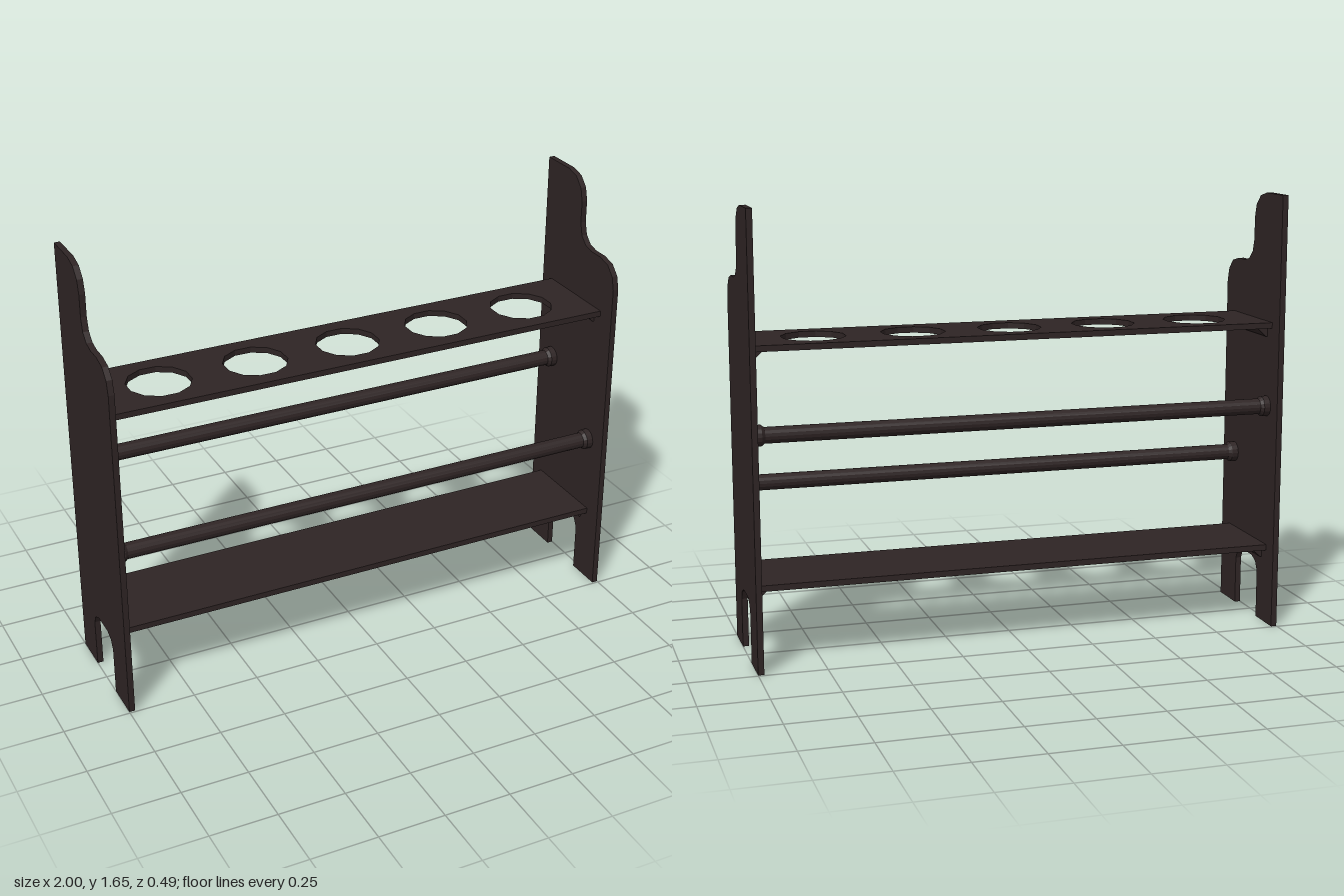
import * as THREE from 'three';

const wood = new THREE.MeshStandardMaterial({ color: 0x2e2424, flatShading: true });
wood.name = 'darkWood';

const PANEL = 0.022; // side panel thickness
const INNER = 1 - PANEL; // inner face of the panels

function add(parent, name, geometry, x = 0, y = 0, z = 0) {
  const mesh = new THREE.Mesh(geometry, wood);
  mesh.name = name;
  mesh.position.set(x, y, z);
  parent.add(mesh);
  return mesh;
}

// Extrudes a (z, y) outline along x, centred on x = 0
function extrudeAcross(points, depth) {
  const shape = new THREE.Shape(points.map(([z, y]) => new THREE.Vector2(z, y)));
  const g = new THREE.ExtrudeGeometry(shape, { depth, bevelEnabled: false });
  return g.translate(0, 0, -depth / 2).rotateY(-Math.PI / 2);
}

// Flat shelf with optional round cut-outs
function shelfGeometry(holeXs) {
  const zBack = -0.18, zFront = 0.17, t = 0.022;
  const shape = new THREE.Shape();
  shape.moveTo(-INNER, -zFront);
  shape.lineTo(INNER, -zFront);
  shape.lineTo(INNER, -zBack);
  shape.lineTo(-INNER, -zBack);
  shape.closePath();
  for (const x of holeXs) {
    const pts = [];
    for (let i = 0; i < 12; i++) {
      const a = -((i + 0.5) / 12) * Math.PI * 2;
      pts.push(new THREE.Vector2(x + 0.118 * Math.cos(a), 0.005 + 0.118 * Math.sin(a)));
    }
    shape.holes.push(new THREE.Path(pts));
  }
  const g = new THREE.ExtrudeGeometry(shape, { depth: t, bevelEnabled: false });
  return g.rotateX(-Math.PI / 2);
}

// Triangular support under a shelf, for the +x end
function bracketGeometry() {
  const s = new THREE.Shape();
  s.moveTo(0, 0);
  s.lineTo(-0.04, 0);
  s.lineTo(-0.04, -0.004);
  s.lineTo(-0.006, -0.036);
  s.lineTo(0, -0.036);
  s.closePath();
  const g = new THREE.ExtrudeGeometry(s, { depth: 0.27, bevelEnabled: false });
  return g.translate(0, 0, -0.135);
}

export function createModel() {
  const model = new THREE.Group();
  model.name = 'bottleRack';

  // Side panels with a stepped, curved top and a foot cut-out
  const outline = [
    [0.1, 0], [0.243, 0], [0.243, 1.28], [0.23, 1.33], [0.196, 1.365], [0.143, 1.378],
    [0.083, 1.378], [0.043, 1.388], [0.013, 1.417], [0, 1.465], [0, 1.548],
    [-0.013, 1.598], [-0.048, 1.634], [-0.1, 1.648], [-0.243, 1.648], [-0.243, 0],
    [-0.1, 0], [-0.1, 0.183], [-0.083, 0.217], [-0.048, 0.234],
    [0.048, 0.234], [0.083, 0.217], [0.1, 0.183],
  ];
  const panel = extrudeAcross(outline, PANEL);
  add(model, 'leftPanel', panel, 1 - PANEL / 2);
  add(model, 'rightPanel', panel, -1 + PANEL / 2);

  // Shelves and their end brackets
  const shelves = [
    ['lowerShelf', 0.286, []],
    ['upperShelf', 1.146, [-0.733, -0.366, 0, 0.366, 0.733]],
  ];
  const bracket = bracketGeometry();
  for (const [name, y, holes] of shelves) {
    add(model, name, shelfGeometry(holes), 0, y, 0);
    add(model, name + 'LeftBracket', bracket, INNER, y, -0.005);
    add(model, name + 'RightBracket', bracket, -INNER, y, -0.005).rotation.y = Math.PI;
  }

  // Round rails with chamfered collars at both ends
  const rail = new THREE.CylinderGeometry(0.03, 0.03, 2 * INNER, 16).rotateZ(Math.PI / 2);
  const collar = new THREE.LatheGeometry(
    [[0.039, 0], [0.039, 0.024], [0.03, 0.036]].map(([r, y]) => new THREE.Vector2(r, y)), 16,
  ).rotateZ(Math.PI / 2);
  for (const [name, y, z] of [['frontRail', 0.61, 0.14], ['backRail', 0.845, -0.147]]) {
    add(model, name, rail, 0, y, z);
    add(model, name + 'LeftCollar', collar, INNER, y, z);
    add(model, name + 'RightCollar', collar, -INNER, y, z).rotation.y = Math.PI;
  }

  return model;
}
